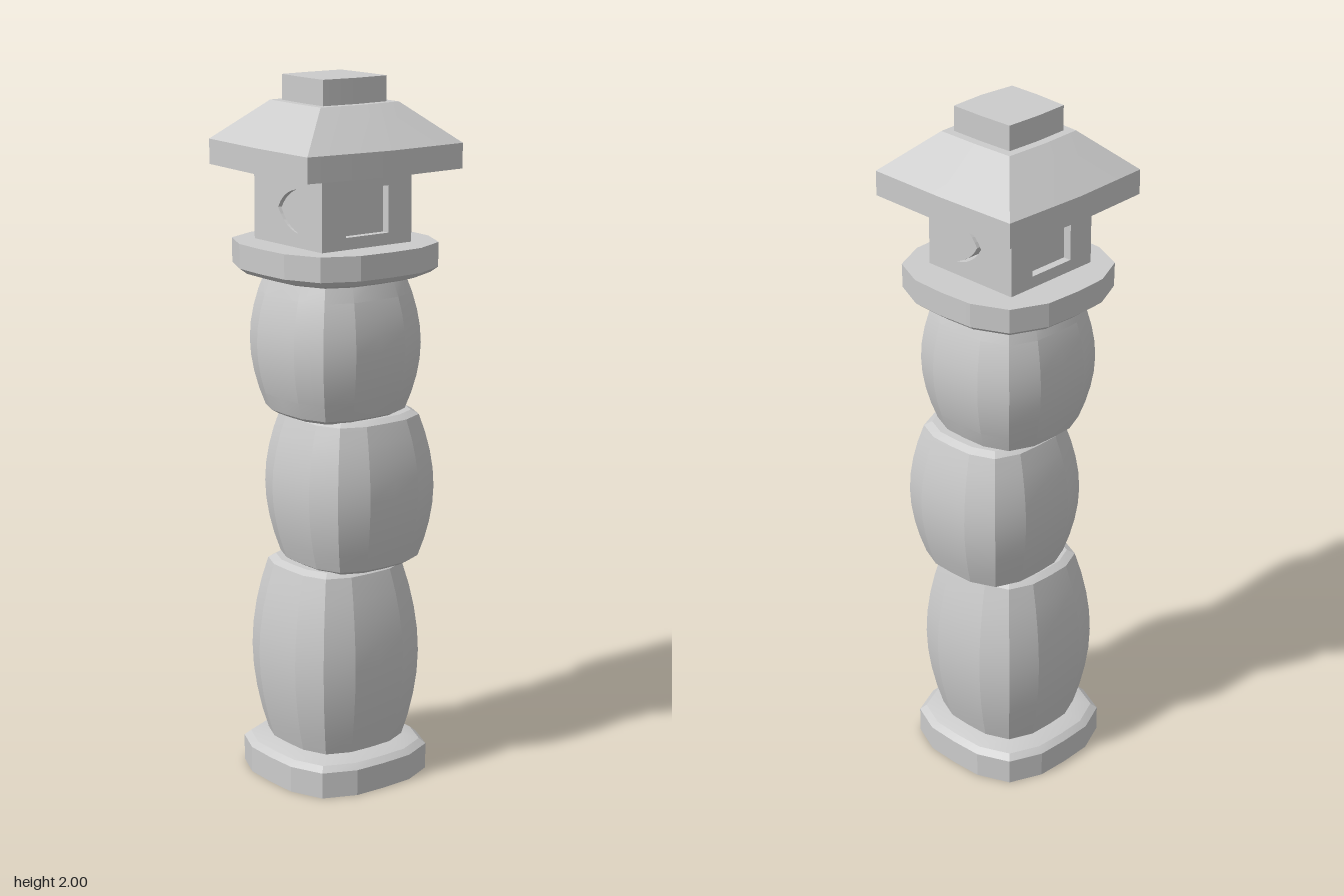
import * as THREE from 'three';
import { toCreasedNormals } from 'three/addons/utils/BufferGeometryUtils.js';

const material = new THREE.MeshStandardMaterial({ color: 0xcccccc });

// Rounded-square outline of unit half-width, as [x, z] points
function roundedSquare(sides = 16, n = 3.3) {
  return Array.from({ length: sides }, (_, i) => {
    const a = (i / sides) * Math.PI * 2;
    const c = Math.cos(a), s = Math.sin(a);
    const r = (Math.abs(c) ** n + Math.abs(s) ** n) ** (-1 / n);
    return [r * c, r * s];
  });
}

// Stack scaled copies of an outline: levels are [y, scale], closed at both ends
function loft(outline, levels, crease = 0.35) {
  const n = outline.length, pos = [], index = [];
  for (const [y, s] of levels) for (const [x, z] of outline) pos.push(x * s, y, z * s);
  for (let j = 0; j < levels.length - 1; j++) {
    for (let i = 0; i < n; i++) {
      const a = j * n + i, b = j * n + (i + 1) % n;
      index.push(a, a + n, b, b, a + n, b + n);
    }
  }
  const last = (levels.length - 1) * n, bottom = levels.length * n;
  pos.push(0, levels[0][0], 0, 0, levels[levels.length - 1][0], 0);
  for (let i = 0; i < n; i++) {
    const k = (i + 1) % n;
    index.push(bottom, i, k, bottom + 1, last + k, last + i);
  }
  const geo = new THREE.BufferGeometry();
  geo.setAttribute('position', new THREE.Float32BufferAttribute(pos, 3));
  geo.setIndex(index);
  return toCreasedNormals(geo, crease);
}

// Barrel-shaped stone: bulging sides with slightly softened rims
function barrel(y0, y1, end, middle) {
  const levels = [[y0, end - 0.02]];
  const steps = 8, rim = 0.012;
  for (let i = 0; i <= steps; i++) {
    const t = i / steps;
    levels.push([y0 + rim + (y1 - y0 - 2 * rim) * t, end + (middle - end) * Math.sin(Math.PI * t) ** 0.9]);
  }
  levels.push([y1, end - 0.02]);
  return loft(roundedSquare(), levels);
}

function rectangle(Type, x0, y0, x1, y1) {
  const p = new Type();
  p.moveTo(x0, y0);
  p.lineTo(x1, y0);
  p.lineTo(x1, y1);
  p.lineTo(x0, y1);
  p.closePath();
  return p;
}

export function createModel() {
  const group = new THREE.Group();
  const add = (name, geometry, x = 0, y = 0, z = 0, parent = group) => {
    const mesh = new THREE.Mesh(geometry, material);
    mesh.name = name;
    mesh.position.set(x, y, z);
    parent.add(mesh);
    return mesh;
  };

  // Foot slab and the three stacked stones, the middle one set off-centre
  add('base', loft(roundedSquare(), [[0, 0.232], [0.075, 0.232], [0.09, 0.215], [0.105, 0.165]]), 0.004);
  add('lowerStone', barrel(0.085, 0.635, 0.168, 0.21), 0.005);
  add('middleStone', barrel(0.63, 1.068, 0.172, 0.21), 0.04, 0, 0.02);
  add('upperStone', barrel(1.063, 1.465, 0.172, 0.21), 0.005);

  // Collar with a rounded underside
  add('collar', loft(roundedSquare(16, 3.1), [
    [1.445, 0.17], [1.452, 0.2], [1.463, 0.235], [1.478, 0.254], [1.547, 0.255],
  ]), 0.004);

  // Lamp chamber: core pierced from side to side by a crescent
  const chamber = new THREE.Group();
  chamber.name = 'lampChamber';
  group.add(chamber);
  const H = 0.154, D = 0.13, y0 = 1.54, y1 = 1.76;
  const side = rectangle(THREE.Shape, -D, y0, D, y1);
  const crescent = new THREE.Path();
  crescent.moveTo(-0.042, 1.706);
  crescent.quadraticCurveTo(0.02, 1.695, 0.043, 1.648);
  crescent.quadraticCurveTo(0.01, 1.592, -0.05, 1.586);
  crescent.quadraticCurveTo(0.005, 1.605, 0.028, 1.648);
  crescent.quadraticCurveTo(0.005, 1.69, -0.042, 1.706);
  side.holes.push(crescent);
  const core = new THREE.ExtrudeGeometry(side, { depth: 2 * H, bevelEnabled: false, curveSegments: 6 });
  core.rotateY(Math.PI / 2);
  add('core', core, -H - 0.003, 0, 0, chamber);

  // Square recessed windows in front and back
  const face = rectangle(THREE.Shape, -H, y0, H, y1);
  face.holes.push(rectangle(THREE.Path, -0.073, 1.58, 0.073, 1.71));
  const frame = new THREE.ExtrudeGeometry(face, { depth: H - D, bevelEnabled: false });
  add('frontWindow', frame, -0.003, 0, D, chamber);
  add('backWindow', frame, -0.003, 0, -H, chamber);

  // Roof and cap share one slightly uneven square outline
  const eaves = [
    [0.26, 0], [0.255, 0.245], [0, 0.256], [-0.262, 0.23],
    [-0.26, 0], [-0.24, -0.25], [0, -0.259], [0.255, -0.25],
  ];
  add('roof', loft(eaves, [[1.75, 1], [1.82, 1], [1.93, 0.505]]));
  add('cap', loft(eaves, [[1.92, 0.41], [2, 0.41]]));

  return group;
}
